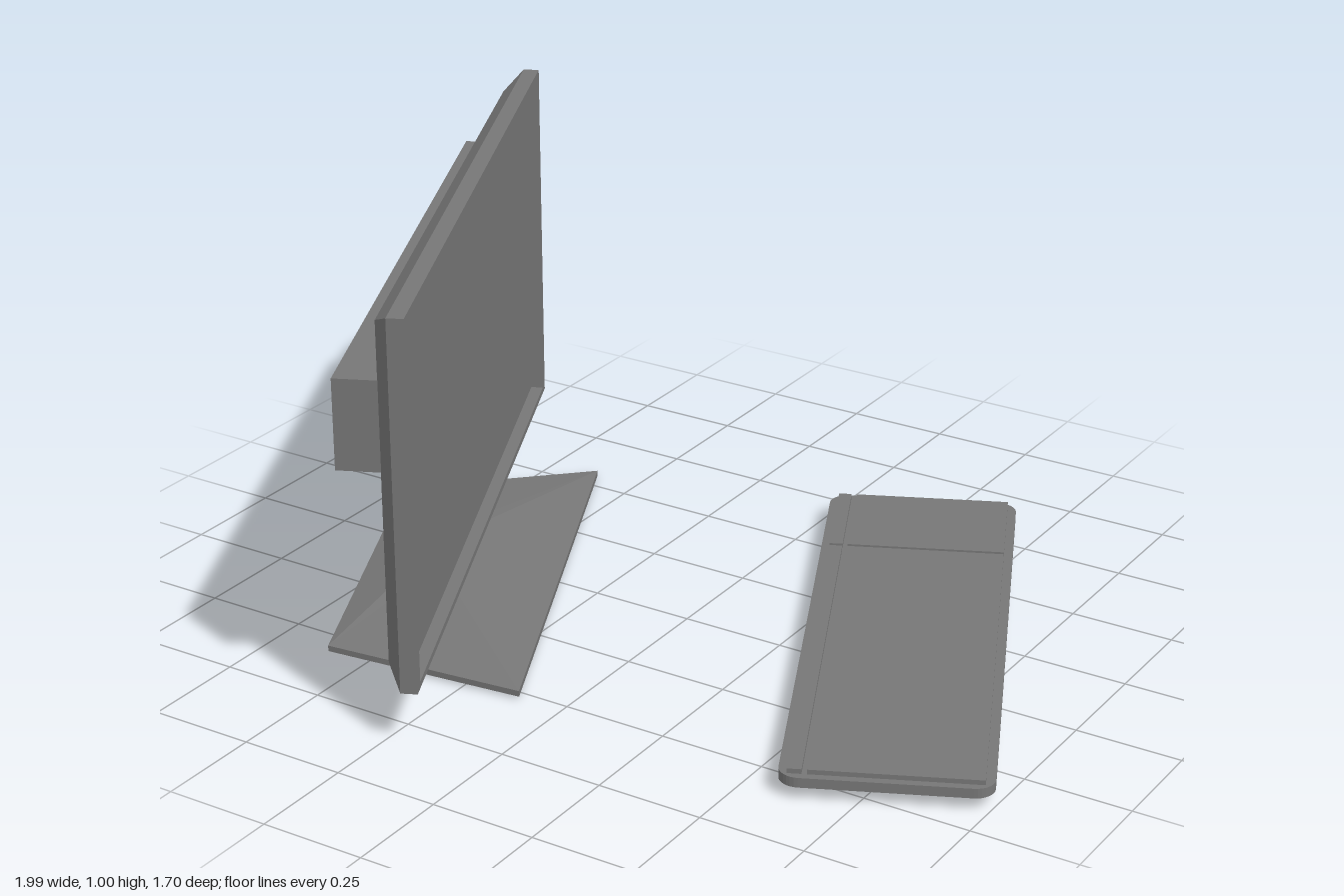
import * as THREE from 'three';

const grey = new THREE.MeshStandardMaterial({ color: 0x777777 });
grey.name = 'grey plastic';

function part(name, geometry, x = 0, y = 0, z = 0) {
  const mesh = new THREE.Mesh(geometry, grey);
  mesh.name = name;
  mesh.position.set(x, y, z);
  return mesh;
}

// Box from its limits on each axis
function block(name, x0, x1, y0, y1, z0, z1) {
  return part(name, new THREE.BoxGeometry(x1 - x0, y1 - y0, z1 - z0),
    (x0 + x1) / 2, (y0 + y1) / 2, (z0 + z1) / 2);
}

// Flat-faced solid through four-cornered sections, counter-clockwise seen from the last one
function loft(sections) {
  const pos = [];
  const quad = (a, b, c, d) => [a, b, c, a, c, d].forEach((p) => pos.push(...p));
  for (let s = 0; s < sections.length - 1; s++) {
    const lo = sections[s], hi = sections[s + 1];
    for (let i = 0; i < 4; i++) {
      const j = (i + 1) % 4;
      quad(lo[i], lo[j], hi[j], hi[i]);
    }
  }
  quad(...[...sections[0]].reverse());
  quad(...sections[sections.length - 1]);
  const g = new THREE.BufferGeometry();
  g.setAttribute('position', new THREE.Float32BufferAttribute(pos, 3));
  g.computeVertexNormals();
  return g;
}

function roundedRect(x0, x1, y0, y1, r) {
  const s = new THREE.Shape();
  s.absarc(x1 - r, y1 - r, r, 0, Math.PI / 2);
  s.absarc(x0 + r, y1 - r, r, Math.PI / 2, Math.PI);
  s.absarc(x0 + r, y0 + r, r, Math.PI, Math.PI * 1.5);
  s.absarc(x1 - r, y0 + r, r, Math.PI * 1.5, Math.PI * 2);
  s.closePath();
  return s;
}

function rectPoints(w, h) {
  return [[-w, -h], [w, -h], [w, h], [-w, h]].map(([x, y]) => new THREE.Vector2(x, y));
}

function createMonitor() {
  const g = new THREE.Group();
  g.name = 'monitor';
  const cx = 0.156, cy = 0.5675, w = 0.8385, h = 0.4325;

  // Bezel frame around a recessed screen
  const frame = new THREE.Shape(rectPoints(w, h));
  frame.holes.push(new THREE.Path(rectPoints(w - 0.03, h - 0.015).reverse()));
  g.add(part('bezel', new THREE.ExtrudeGeometry(frame, { depth: 0.038, bevelEnabled: false }), cx, cy, -0.534));
  g.add(block('screen', cx - w + 0.02, cx + w - 0.02, cy - h + 0.01, cy + h - 0.01, -0.533, -0.526));

  // Tapered back shell
  const face = (a, b, z) => rectPoints(a, b).map((p) => [p.x, p.y, z]);
  g.add(part('backShell', loft([face(w - 0.073, h - 0.035, -0.573), face(w, h, -0.534)]), cx, cy, 0));

  // Rear housing and pole
  g.add(block('rearHousing', cx - 0.767, cx + 0.767, 0.62, 0.83, -0.671, -0.57));
  g.add(block('pole', cx - 0.075, cx + 0.075, 0.06, 0.64, -0.656, -0.6));

  // Trapezoid foot rising to the pole
  const ring = (front, back, zf, zb, y) =>
    [[-front, y, zf], [front, y, zf], [back, y, zb], [-back, y, zb]];
  g.add(part('foot', loft([
    ring(0.52, 0.38, -0.36, -0.75, 0),
    ring(0.591, 0.43, -0.322, -0.79, 0.006),
    ring(0.591, 0.43, -0.322, -0.79, 0.02),
    ring(0.075, 0.075, -0.6, -0.656, 0.065),
  ]), cx + 0.003, 0, 0));
  return g;
}

function createKeyboard() {
  const g = new THREE.Group();
  g.name = 'keyboard';

  // Rounded slab, laid flat
  const slab = new THREE.ExtrudeGeometry(roundedRect(-0.795, 0.61, -0.743, -0.286, 0.045),
    { depth: 0.023, bevelEnabled: false, curveSegments: 4 });
  slab.rotateX(-Math.PI / 2);
  g.add(part('keyboardSlab', slab, 0, 0.03, 0));

  // Raised key fields, each with a narrow strip beside it
  for (const [name, x0, x1] of [['mainKeys', -0.777, 0.301], ['numberKeys', 0.311, 0.595]]) {
    g.add(block(name, x0, x1, 0.05, 0.064, 0.349, 0.722));
    g.add(block(name + 'Strip', x0, x1, 0.05, 0.064, 0.306, 0.337));
  }
  return g;
}

export function createModel() {
  const model = new THREE.Group();
  model.name = 'computerMonitorAndKeyboard';
  const desk = new THREE.Group();
  desk.name = 'turnedSet';
  desk.rotation.y = THREE.MathUtils.degToRad(115);
  desk.add(createMonitor(), createKeyboard());
  model.add(desk);
  return model;
}
